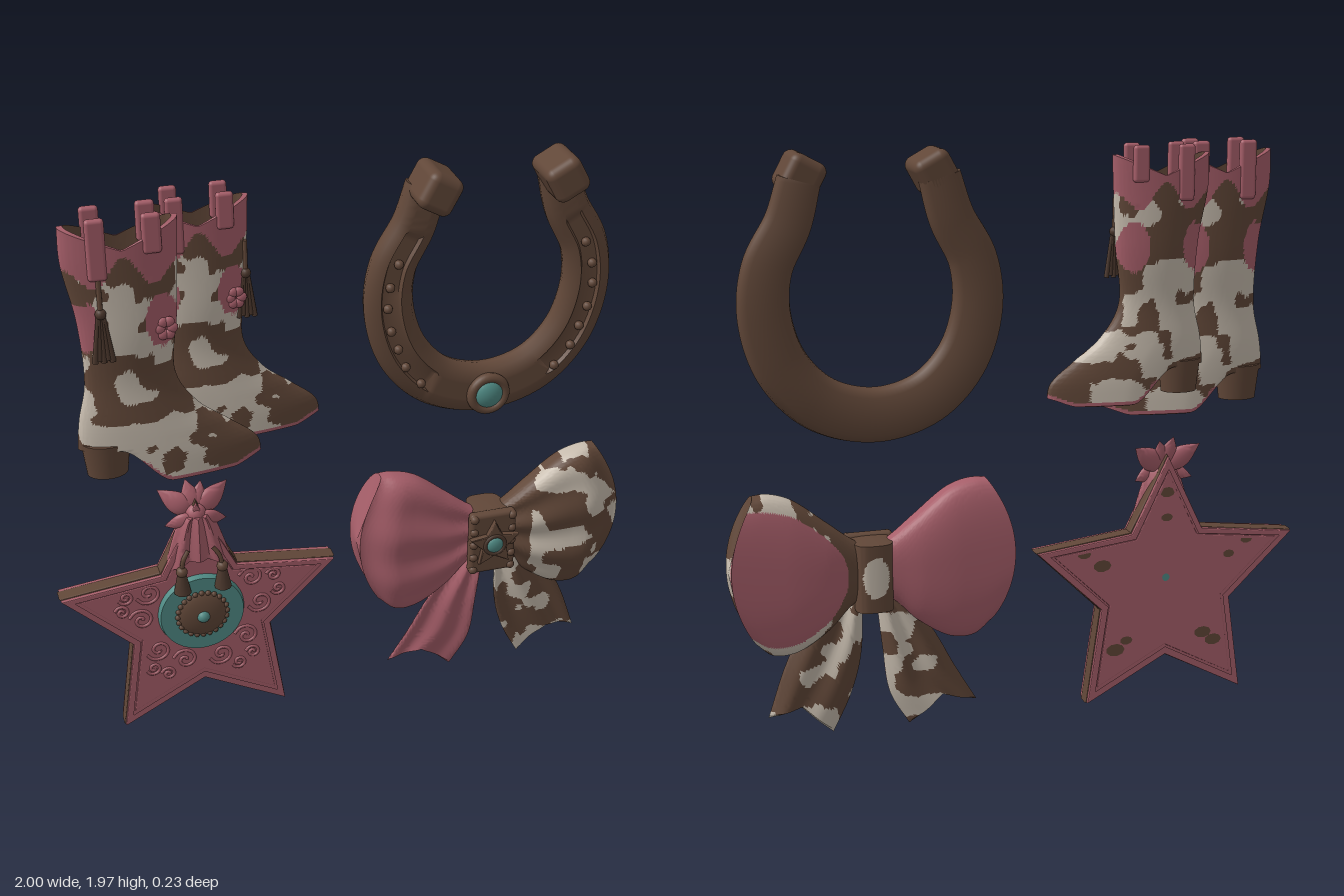
import * as THREE from 'three';
import { mergeVertices, toCreasedNormals } from 'three/addons/utils/BufferGeometryUtils.js';
import { RoundedBoxGeometry } from 'three/addons/geometries/RoundedBoxGeometry.js';
import { ParametricGeometry } from 'three/addons/geometries/ParametricGeometry.js';

const material = (name, color) => Object.assign(new THREE.MeshStandardMaterial({ color }), { name });
const brown = material('brown leather', 0x614738), cream = material('cream hide', 0xc6bbad);
const pink = material('dusty pink', 0xa65e69), teal = material('turquoise', 0x4f8a84);
const darkBrown = material('dark brown', 0x4c382d);
const hide = [brown, cream, pink];
const { sin, cos, abs, sign, min, max, sqrt, PI } = Math;
const { clamp, lerp, smoothstep: smooth } = THREE.MathUtils;
const spline = (pts) => new THREE.CatmullRomCurve3(pts.map(p => new THREE.Vector3(p[0], p[1], p[2] || 0)));

function add(parent, name, geo, mat, x = 0, y = 0, z = 0) {
  const m = new THREE.Mesh(geo, mat);
  m.name = name;
  m.position.set(x, y, z);
  parent.add(m);
  return m;
}
function group(parent, name) {
  const g = new THREE.Group();
  g.name = name;
  parent.add(g);
  return g;
}

// Closed surface from f(angle, v) -> [x, y, z], turned to face outwards
function surf(f, around, along, crease = 0.8) {
  let g = new ParametricGeometry((u, v, t) => t.set(...f(u === 1 ? 0 : u * 2 * PI, v)), around, along);
  g.deleteAttribute('uv');
  g.deleteAttribute('normal');
  g = mergeVertices(g, 1e-5);
  const p = g.attributes.position, id = g.index.array, [a, b, c] = [0, 1, 2].map(() => new THREE.Vector3());
  let volume = 0;
  for (let i = 0; i < id.length; i += 3) {
    [a, b, c].forEach((w, k) => w.fromBufferAttribute(p, id[i + k]));
    volume += a.dot(b.cross(c));
  }
  if (volume < 0) id.reverse();
  return toCreasedNormals(g, crease);
}

// Sort faces into material groups; pick(centre, normal) gives the material index
function paint(g, mats, pick) {
  const P = g.attributes.position.array, N = g.attributes.normal.array, faces = mats.map(() => []);
  const c = new THREE.Vector3(), n = new THREE.Vector3();
  for (let i = 0; i < P.length; i += 9) {
    c.set(P[i] + P[i + 3] + P[i + 6], P[i + 1] + P[i + 4] + P[i + 7], P[i + 2] + P[i + 5] + P[i + 8]).divideScalar(3);
    n.set(N[i] + N[i + 3] + N[i + 6], N[i + 1] + N[i + 4] + N[i + 7], N[i + 2] + N[i + 5] + N[i + 8]).normalize();
    faces[pick(c, n)].push(i);
  }
  const out = new THREE.BufferGeometry();
  const gather = (src) => new THREE.Float32BufferAttribute(faces.flat().flatMap(i => Array.from(src.slice(i, i + 9))), 3);
  out.setAttribute('position', gather(P));
  out.setAttribute('normal', gather(N));
  let start = 0;
  faces.forEach((f, k) => { out.addGroup(start, f.length * 3, k); start += f.length * 3; });
  return out;
}

// Cowhide patches from value noise: 0 brown, 1 cream
const hash = (i, j, k) => { const s = sin(i * 127.1 + j * 311.7 + k * 74.7) * 43758.5453; return s - Math.floor(s); };
function noise(x, y, z) {
  const [i, j, k] = [x, y, z].map(Math.floor), [a, b, c] = [x - i, y - j, z - k].map(t => t * t * (3 - 2 * t));
  const row = (J, K) => lerp(hash(i, J, K), hash(i + 1, J, K), a);
  return lerp(lerp(row(j, k), row(j + 1, k), b), lerp(row(j, k + 1), row(j + 1, k + 1), b), c);
}
const cow = (p, bias, f = 1) => noise(p.x * 12 * f + 40, p.y * 13 * f + 9, p.z * 9 + 5) + 0.25 * (noise(p.x * 32 + 50, p.y * 32, p.z * 20 + 9) - 0.5) > bias ? 1 : 0;

// Boots
const bootRows = spline([[-0.87, -0.30, 1.04], [-0.895, -0.31, 1.12], [-0.895, -0.40, 1.2], [-0.885, -0.50, 1.28],
  [-0.86, -0.57, 1.4], [-0.87, -0.555, 1.62], [-0.905, -0.545, 1.82], [-0.905, -0.54, 1.94]]);
const bootZ = 0.042;
const soleY = (x) => 1.17 - 0.13 * smooth(x, -0.77, -0.6) + 0.035 * smooth(x, -0.42, -0.28);
function bootPoint(a, v) {
  const inside = v > 0.86;
  const t = inside ? 1 - (v - 0.86) / 0.14 * 0.2 : clamp((v - 0.05) / 0.81, 0, 1);
  const k = v < 0.05 ? v / 0.05 : v === 1 ? 0 : inside ? 0.9 : 1;
  const r = bootRows.getPoint(t), foot = 1 - smooth(r.z, 1.1, 1.35);
  const x = (r.x + r.y) / 2 + (r.y - r.x) / 2 * cos(a) * k;
  const rz = 0.062 + 0.005 * foot - 0.012 * Math.exp(-(((r.z - 1.4) / 0.12) ** 2));
  const z = bootZ + rz * sin(a) * k * (1 - 0.35 * foot * max(0, cos(a)));
  const scallop = max(0, (r.z - 1.72) / 0.22) * 0.075 * (1 - abs(cos(a)));
  return [x, max(r.z - scallop, soleY(x)), z];
}
function bootPaint(p, n) {
  const dx = p.x + 0.722;
  if (p.y > 1.68 && (dx / 0.182) ** 2 + ((p.z - bootZ) / 0.062) ** 2 < 0.86) return 0;
  if (p.y < 1.24 && n.y < -0.6) return 0;
  if (p.y < soleY(p.x) + 0.014 && p.x > -0.7) return 2;
  if (p.y > 1.79 + 0.05 * cos(dx * 34) - 0.04 * smooth(abs(dx), 0.1, 0.19)) return 2;
  for (const cx of [-0.85, -0.61]) if (((p.x - cx) / 0.055) ** 2 + ((p.y - 1.61) / 0.09) ** 2 < 1) return 2;
  if (p.x > -0.45 && p.y < 1.2) return 0;
  return cow(p, 0.5, 1.25);
}
const bootGeo = paint(surf(bootPoint, 110, 110), hide, bootPaint);
const bootFront = (x) => bootZ + 0.061 * sqrt(max(0, 1 - ((x + 0.72) / 0.18) ** 2));

function buildBoot(parent, name, tasselX) {
  const g = group(parent, name);
  add(g, 'bootUpper', bootGeo, hide);
  const heel = add(g, 'bootHeel', new THREE.CylinderGeometry(0.08, 0.066, 0.12, 28), brown, -0.808, 1.13, bootZ);
  heel.scale.z = 0.75;
  for (const [x, h] of [[-0.80, 0.2], [-0.63, 0.13]]) for (const side of [1, -1])
    add(g, 'pullStrap', new RoundedBoxGeometry(0.06, h, 0.026, 4, 0.012), pink, x, 1.97 - h / 2, bootZ + side * (bootFront(x) - bootZ - 0.003));
  const tz = bootFront(tasselX);
  add(g, 'tasselKnot', new THREE.SphereGeometry(0.018, 12, 8), darkBrown, tasselX, 1.66, tz);
  add(g, 'tasselCord', new THREE.CylinderGeometry(0.008, 0.008, 0.12, 8), brown, tasselX, 1.72, tz);
  for (let i = -2; i < 3; i++) {
    const strand = add(g, 'tasselStrand', new THREE.CylinderGeometry(0.006, 0.01, 0.16, 8), darkBrown, tasselX + i * 0.009, 1.575 + 0.008 * (i & 1), tz);
    strand.rotation.z = i * 0.06;
  }
  for (let i = 0; i < 6; i++) {
    const petal = add(g, 'rosettePetal', new THREE.SphereGeometry(0.018, 10, 8), pink, -0.6 + 0.02 * cos(i * PI / 3), 1.58 + 0.024 * sin(i * PI / 3), bootFront(-0.6));
    petal.scale.z = 0.6;
  }
  return g;
}

// Horseshoe: a grooved band swept along a bent path, with clips, nails and a stone
function buildHorseshoe(parent) {
  const g = group(parent, 'horseshoe'), cx = 0.515;
  const half = [[0.29, 1.89], [0.252, 1.76], [0.182, 1.62], [0.168, 1.47], [0.22, 1.3], [0.34, 1.175]];
  const path = spline([...half, [cx, 1.128], ...half.map(([x, y]) => [2 * cx - x, y]).reverse()]);
  const profile = [[-0.68, -0.11], [-0.93, -0.094], [-1, -0.065], [-0.84, -0.036], [-0.42, -0.026], [-0.34, -0.039],
    [0.3, -0.039], [0.4, -0.026], [0.82, -0.036], [1, -0.065], [0.93, -0.094], [0.68, -0.11]];
  add(g, 'horseshoeBand', surf((a, v) => {
    const t = clamp((v * 120 - 1) / 118, 0, 1), p = path.getPoint(t), d = path.getTangent(t);
    const [s, z] = profile[Math.round(a / (2 * PI) * 12) % 12];
    const end = v === 0 || v === 1, w = end ? 0 : 0.07 + 0.022 * sin(PI * t);
    const grooved = (t > 0.1 && t < 0.4) || (t > 0.6 && t < 0.9);
    return [p.x - d.y * s * w, p.y + d.x * s * w, end ? -0.07 : (z === -0.039 && !grooved ? -0.026 : z)];
  }, 12, 120, 1), brown);
  for (const side of [-1, 1]) {
    const clip = add(g, 'horseshoeClip', new RoundedBoxGeometry(0.125, 0.13, 0.176, 4, 0.03), brown, cx + side * 0.215, 1.9, -0.022);
    clip.rotation.z = side * 0.5;
    for (const [x, y] of [[0.325, 1.64], [0.353, 1.56], [0.36, 1.485], [0.347, 1.4], [0.322, 1.33], [0.295, 1.26], [0.24, 1.19]])
      add(g, 'nailHead', new THREE.SphereGeometry(0.016, 12, 8), brown, cx + side * x, y, -0.03);
  }
  const ring = add(g, 'stoneSetting', new THREE.TorusGeometry(0.06, 0.017, 10, 36), brown, cx, 1.12, -0.022);
  const stone = add(g, 'turquoiseStone', new THREE.SphereGeometry(0.055, 24, 16), teal, cx, 1.12, -0.025);
  ring.scale.z = 1.2;
  stone.scale.z = 0.6;
}

// Star badge with raised borders, scrollwork, medallion, scarf and tassels
const starTips = [[0, 0.44], [0.13, 0.17], [0.475, 0.13], [0.24, -0.095], [0.29, -0.44], [0, -0.285]];
const starOutline = (k) => [...starTips, ...starTips.slice(1, 5).reverse().map(([x, y]) => [-x, y])].map(([x, y]) => new THREE.Vector2(x * k, y * k));
const extrude = (shape, depth, bevel) => new THREE.ExtrudeGeometry(shape, { depth, bevelEnabled: bevel > 0, bevelSize: bevel, bevelThickness: bevel, bevelSegments: 2 });
function buildStar(parent) {
  const g = group(parent, 'starBadge');
  g.position.set(-0.525, 0.455, 0);
  const arms = [[0, 0.44], [0.475, 0.13], [0.29, -0.44], [-0.29, -0.44], [-0.475, 0.13]];
  add(g, 'starBody', extrude(new THREE.Shape(starOutline(0.985)), 0.04, 0.008), brown, 0, 0, -0.02);
  const faces = [1, -1].map((side) => {
    const face = group(g, side > 0 ? 'starFront' : 'starBack');
    face.rotation.y = side > 0 ? 0 : PI;
    add(face, 'starPanel', extrude(new THREE.Shape(starOutline(0.99)), 0.009, 0), pink, 0, 0, 0.024);
    for (const [outer, inner, h] of [[0.985, 0.9, 0.012], [0.86, 0.82, 0.007]]) {
      const frame = new THREE.Shape(starOutline(outer));
      frame.holes.push(new THREE.Path(starOutline(inner)));
      add(face, 'starBorder', extrude(frame, h - 0.004, 0.004), pink, 0, 0, 0.03);
    }
    return face;
  });
  // Worn patches on the back
  arms.forEach(([x, y], i) => [0.5, 0.64].forEach((k, j) => {
    const spot = add(faces[1], 'wornSpot', new THREE.CircleGeometry(0.014 + 0.012 * hash(i, j, 3), 9), brown, x * k, y * k + 0.03 * j, 0.0345);
    spot.scale.x = 1.5;
  }));
  add(faces[1], 'backStud', new THREE.CircleGeometry(0.014, 12), teal, 0, 0, 0.0345);
  for (const [tx, ty] of arms.slice(1)) for (const m of [-1, 1]) for (const [r, off] of [[0.2, 0.055], [0.275, 0.03]]) {
    const l = Math.hypot(tx, ty), ux = tx / l, uy = ty / l;
    const pts = Array.from({ length: 14 }, (_, k) => {
      const q = 0.004 + (off * 0.75) * k / 13, a = k * 0.7 * m;
      return [ux * r - uy * off * m + q * cos(a), uy * r + ux * off * m + q * sin(a), 0.033];
    });
    add(g, 'scroll', new THREE.TubeGeometry(spline(pts), 40, 0.006, 6), pink);
  }
  add(g, 'medallionRing', toCreasedNormals(new THREE.CylinderGeometry(0.145, 0.155, 0.035, 48).rotateX(PI / 2), 0.6), teal, 0, 0, 0.036);
  const dome = add(g, 'medallionDome', new THREE.SphereGeometry(0.09, 32, 20), brown, 0, 0, 0.048);
  dome.scale.z = 0.3;
  for (let i = 0; i < 24; i++) add(g, 'medallionBead', new THREE.SphereGeometry(0.01, 8, 6), brown, 0.086 * cos(i * PI / 12), 0.086 * sin(i * PI / 12), 0.054);
  add(g, 'medallionStone', new THREE.SphereGeometry(0.023, 14, 10), teal, 0, 0, 0.068);
  add(g, 'scarfDrape', surf((a, v) => {
    const t = clamp((v * 30 - 1) / 28, 0, 1), k = v === 0 || v === 1 ? 0 : 1, s = cos(a) * k;
    return [s * lerp(0.045, 0.12, t ** 0.7), 0.39 - 0.22 * t + 0.05 * t * (1 - s * s), 0.022 + k * sin(a) * (0.034 + 0.01 * cos(s * 11))];
  }, 60, 30), pink);
  const petalGeo = surf((a, v) => {
    const r = 0.04 * sin(PI * v ** 0.8);
    return [r * cos(a), 0.15 * v, 0.5 * r * sin(a) - 0.03 * v * v];
  }, 16, 14);
  [[0.92, 1], [-0.92, 1], [0.2, 0.82], [-0.25, 0.75], [1.9, 0.75], [-1.9, 0.75]].forEach(([angle, size]) => {
    const p = add(g, 'scarfPetal', petalGeo, pink, 0, 0.385, abs(angle) > 1 ? 0.03 : 0.005);
    p.rotation.z = angle;
    p.scale.setScalar(size);
  });
  add(g, 'scarfKnot', new THREE.SphereGeometry(0.036, 16, 12), pink, 0, 0.39, 0.015);
  for (const x of [-0.065, 0.075]) {
    add(g, 'tasselCord', new THREE.TubeGeometry(spline([[x * 0.6, 0.27, 0.055], [x * 0.9, 0.235, 0.062], [x, 0.19, 0.06]]), 12, 0.008, 6), brown);
    add(g, 'tasselCap', new THREE.SphereGeometry(0.02, 12, 8), brown, x, 0.19, 0.06);
    add(g, 'tassel', new THREE.CylinderGeometry(0.015, 0.03, 0.075, 10), darkBrown, x, 0.145, 0.06);
  }
}

// Bow: two puffed loops, two forked tails and a studded buckle
function buildBow(parent) {
  const g = group(parent, 'bow'), cx = 0.52;
  const rows = spline([[0.02, 0.66, 0.50], [0.08, 0.70, 0.46], [0.15, 0.755, 0.39], [0.27, 0.845, 0.318], [0.345, 0.868, 0.318], [0.395, 0.868, 0.36]]);
  const power = (w, e) => sign(w) * abs(w) ** e;
  for (const side of [-1, 1]) {
    const geo = surf((a, v) => {
      const t = clamp((v - 0.03) / 0.87, 0, 1), k = v < 0.03 ? v / 0.03 : 1 - max(0, (v - 0.9) / 0.1);
      const r = rows.getPoint(t), c = cos(a), s = power(sin(a), 0.8);
      const fold = 1 - 0.35 * (1 - t) * (0.5 + 0.5 * cos(s * 9 + 1));
      const front = lerp(0.05, 0.094, smooth(t, 0, 0.7)) * fold - 0.045 * smooth(t, 0.7, 1);
      const z = c > 0 ? front : lerp(0.045, 0.078, smooth(t, 0, 0.6));
      const x = r.x + 0.085 * t * t * (1 - s * s * k);
      return [cx + side * x, (r.y + r.z) / 2 + (r.y - r.z) / 2 * s * k, power(c, 0.65) * z * k];
    }, 110, 80);
    add(g, side < 0 ? 'bowLoopRight' : 'bowLoopLeft', paint(geo, hide, (p) =>
      side < 0 || p.z < -0.055 ? 2 : p.x < 0.67 ? 0 : cow(p, 0.49)), hide);
  }
  const tails = [[[[0.46, 0.54], [0.31, 0.34], [0.235, 0.2], [0.16, 0.07]], [[0.51, 0.54], [0.487, 0.3], [0.465, 0.13], [0.40, 0.01]]],
    [[[0.55, 0.54], [0.56, 0.28], [0.60, 0.14], [0.665, 0.012]], [[0.62, 0.55], [0.74, 0.42], [0.82, 0.27], [0.885, 0.09]]]];
  tails.forEach(([l, r], i) => {
    const A = spline(l), B = spline(r);
    const geo = surf((a, v) => {
      const p = A.getPoint(v), q = B.getPoint(v), s = cos(a), w = (s + 1) / 2, k = v === 0 || v === 1 ? 0 : 1;
      const z = 0.014 * cos(s * 6) * (1 - 0.5 * v) + 0.012 - 0.016 * v + k * 0.02 * sin(a);
      return [lerp(p.x, q.x, w), lerp(p.y, q.y, w) + 0.065 * (1 - abs(s)) * v ** 3, z];
    }, 64, 50);
    add(g, i ? 'bowTailLeft' : 'bowTailRight', paint(geo, hide, (p, n) => i === 0 && n.z > -0.2 ? 2 : cow(p, 0.62)), hide);
  });
  const strap = paint(surf((a, v) => {
    const k = v === 0 || v === 1 ? 0 : 1;
    return [cx + 0.065 * power(cos(a), 0.6) * k, 0.44 + 0.25 * v, 0.072 * power(sin(a), 0.6) * k];
  }, 40, 30), hide, (p) => p.z > -0.04 ? 0 : ((p.x - cx) / 0.045) ** 2 + ((p.y - 0.57) / 0.07) ** 2 < 1 ? 1 : 0);
  add(g, 'bowStrap', strap, hide);
  add(g, 'bucklePlate', new RoundedBoxGeometry(0.17, 0.245, 0.04, 3, 0.015), brown, cx, 0.57, 0.062);
  for (const sx of [-1, 1]) for (const y of [-1, -0.5, 0, 0.5, 1])
    add(g, 'buckleStud', new THREE.SphereGeometry(0.016, 10, 8), brown, cx + sx * 0.07, 0.57 + y * 0.105, 0.076);
  const star = new THREE.Shape(Array.from({ length: 10 }, (_, i) => {
    const r = i % 2 ? 0.042 : 0.088, a = PI / 2 + i * PI / 5;
    return new THREE.Vector2(r * cos(a), r * sin(a));
  }));
  add(g, 'buckleStar', extrude(star, 0.012, 0.005), brown, cx, 0.575, 0.085);
  add(g, 'buckleRing', new THREE.TorusGeometry(0.036, 0.008, 8, 24), darkBrown, cx, 0.575, 0.1);
  const stone = add(g, 'buckleStone', new THREE.SphereGeometry(0.031, 18, 12), teal, cx, 0.575, 0.1);
  stone.scale.z = 0.5;
}

export function createModel() {
  const model = new THREE.Group();
  model.name = 'westernCharms';
  buildBoot(model, 'frontBoot', -0.8);
  const rear = buildBoot(model, 'rearBoot', -0.56);
  rear.scale.setScalar(0.93);
  rear.position.set(0.202, 0.138, -0.088);
  buildHorseshoe(model);
  buildStar(model);
  buildBow(model);
  return model;
}
